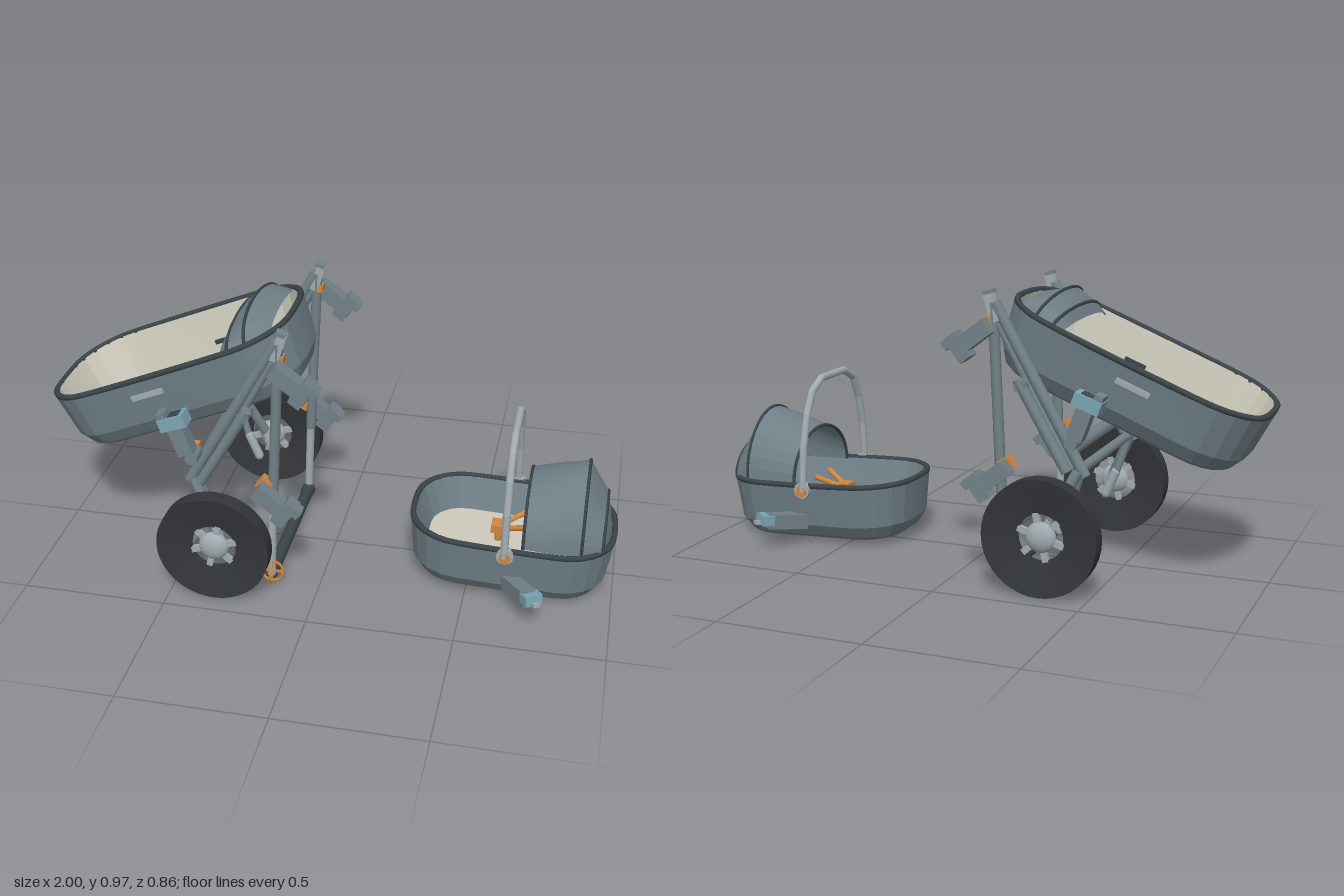
import * as THREE from 'three';
import { toCreasedNormals } from 'three/addons/utils/BufferGeometryUtils.js';

const mat = (name, color, side = THREE.FrontSide) => {
  const m = new THREE.MeshStandardMaterial({ color, side });
  m.name = name;
  return m;
};
const V = (x, y, z) => new THREE.Vector3(x, y, z);

export function createModel() {
  const fabric = mat('slate fabric', 0x6f7f86, THREE.DoubleSide);
  const frame = mat('frame grey', 0x728188);
  const light = mat('light metal', 0xa1abb0);
  const rubber = mat('rubber', 0x333639);
  const trim = mat('dark trim', 0x3b4549, THREE.DoubleSide);
  const lining = mat('cream lining', 0xcecbbd, THREE.DoubleSide);
  const orange = mat('orange', 0xcf8640);
  const teal = mat('teal', 0x7ba6b1);
  const root = new THREE.Group();
  root.name = 'strollerAndCarrier';

  const add = (parent, name, geo, m, pos = [0, 0, 0], rot = [0, 0, 0]) => {
    const mesh = new THREE.Mesh(geo, m);
    mesh.name = name;
    mesh.position.set(...pos);
    mesh.rotation.set(...rot);
    parent.add(mesh);
    return mesh;
  };
  const box = (p, name, size, m, pos, rot) => add(p, name, new THREE.BoxGeometry(...size), m, pos, rot);
  // Straight round bar between two points
  const bar = (p, name, a, b, r, m) => {
    const from = V(...a), d = V(...b).sub(from);
    const mesh = add(p, name, new THREE.CylinderGeometry(r, r, d.length(), 12), m);
    mesh.position.copy(from).addScaledVector(d, 0.5);
    mesh.quaternion.setFromUnitVectors(V(0, 1, 0), d.normalize());
  };
  // Skin over a series of equal-length cross-sections
  const loft = (rings, closed) => {
    const pos = [], idx = [], n = rings[0].length;
    rings.forEach(r => r.forEach(v => pos.push(v.x, v.y, v.z)));
    for (let j = 0; j < rings.length - 1; j++) {
      for (let i = 0; i < (closed ? n : n - 1); i++) {
        const k = (i + 1) % n, a = j * n + i, b = j * n + k, c = b + n, d = a + n;
        idx.push(a, d, c, a, c, b);
      }
    }
    const g = new THREE.BufferGeometry();
    g.setAttribute('position', new THREE.Float32BufferAttribute(pos, 3));
    g.setIndex(idx);
    return toCreasedNormals(g, 0.2);
  };
  // Rounded rectangle lying flat at height y
  const ring = (hl, hw, r, y) => {
    const pts = [];
    [[1, 1], [-1, 1], [-1, -1], [1, -1]].forEach(([sx, sz], q) => {
      for (let i = 0; i <= 5; i++) {
        const t = (q + i / 5) * Math.PI / 2;
        pts.push(V(sx * (hl - r) + r * Math.cos(t), y, sz * (hw - r) + r * Math.sin(t)));
      }
    });
    return pts;
  };
  // Tub with outer shell, inner wall, cream floor and a rolled rim
  const tub = (p, hl, hw, r, depth, draft, floorInset, floorDepth, wallMat) => {
    const at = (inset, y) => ring(hl - inset, hw - inset, Math.max(r - inset, 0.04), y);
    const dot = y => ring(0, 0, 0, y);
    const floor = at(floorInset, -floorDepth);
    add(p, 'outerShell', loft([dot(-depth), at(draft, -depth), at(draft * 0.72, -depth + 0.012),
      at(draft * 0.28, -depth * 0.73), at(0, 0)], true), fabric);
    add(p, 'innerWall', loft([at(0.018, 0), floor], true), wallMat);
    add(p, 'floor', loft([floor, dot(-floorDepth)], true), lining);
    const rim = new THREE.CatmullRomCurve3(at(0.009, 0).filter((v, i, a) => !i || v.distanceTo(a[i - 1]) > 1e-4), true, 'centripetal');
    add(p, 'rim', new THREE.TubeGeometry(rim, 72, 0.011, 6, true), trim);
  };
  // Arched hood made from [x, half width, top, base] sections
  const arch = ([x, hw, top, base]) => Array.from({ length: 17 }, (_, i) => {
    const t = i / 16 * Math.PI;
    return V(x, base + (top - base) * Math.sin(t), hw * Math.cos(t));
  });
  const hood = (p, sections, ribs) => {
    add(p, 'hood', loft(sections.map(arch), false), fabric);
    ribs.forEach(i => add(p, 'hoodRib', new THREE.TubeGeometry(
      new THREE.CatmullRomCurve3(arch(sections[i])), 32, 0.006, 5), trim));
  };

  // Tilted bassinet
  const bassinet = new THREE.Group();
  bassinet.name = 'bassinet';
  bassinet.position.set(-0.995, 0.575, 0);
  bassinet.rotation.z = 0.393;
  root.add(bassinet);
  const cot = new THREE.Group();
  cot.name = 'bassinetTub';
  cot.position.x = 0.466;
  bassinet.add(cot);
  tub(cot, 0.466, 0.265, 0.2, 0.22, 0.062, 0.05, 0.185, lining);
  hood(bassinet, [[0.70, 0.245, 0.015, -0.02], [0.735, 0.245, 0.045, -0.01],
    [0.80, 0.236, 0.073, -0.01], [0.88, 0.18, 0.02, -0.01]], [1, 2]);
  for (const s of [1, -1]) {
    box(bassinet, 'sideGrip', [0.12, 0.018, 0.012], light, [0.41, -0.06, s * 0.262]);
    box(bassinet, 'innerCatch', [0.08, 0.015, 0.012], trim, [0.53, -0.12, s * 0.224]);
  }

  // Clamp with an arm along its local x axis
  const clamp = (pos, angle, m) => {
    const g = new THREE.Group();
    g.name = 'clamp';
    g.position.set(...pos);
    g.rotation.z = angle;
    root.add(g);
    box(g, 'clampArm', [0.14, 0.055, 0.05], frame);
    box(g, 'clampHead', [0.045, 0.095, 0.06], m, [0.055, 0, 0]);
    box(g, 'clampLip', [0.02, 0.03, 0.05], frame, [0.086, 0.03, 0]);
    box(g, 'clampSocket', [0.004, 0.04, 0.04], trim, [0.078, -0.01, 0]);
  };

  for (const s of [1, -1]) {
    // Side frame
    const z = s * 0.29;
    bar(root, 'frontPost', [-0.13, 0.93, z], [-0.16, 0.3, z], 0.018, frame);
    bar(root, 'lowerPost', [-0.16, 0.31, z], [-0.17, 0.03, z], 0.015, light);
    for (const o of [-1, 1]) box(root, 'postFork', [0.03, 0.1, 0.009], light, [-0.127, 0.915, z + o * 0.0125], [0, 0, -0.3]);
    box(root, 'postCap', [0.035, 0.012, 0.036], frame, [-0.118, 0.963, z], [0, 0, -0.3]);
    box(root, 'postButton', [0.025, 0.024, 0.034], orange, [-0.122, 0.874, z]);
    bar(root, 'rearRail', [-0.135, 0.93, z], [-0.45, 0.38, z], 0.019, frame);
    bar(root, 'lowerRail', [-0.15, 0.86, z], [-0.40, 0.4, z], 0.014, frame);
    bar(root, 'outerRail', [-0.23, 0.69, s * 0.33], [-0.40, 0.4, s * 0.33], 0.018, frame);
    bar(root, 'railBracket', [-0.24, 0.67, s * 0.28], [-0.24, 0.67, s * 0.345], 0.02, frame);
    clamp([-0.08, 0.82, s * 0.342], -0.65, frame);
    clamp([-0.147, 0.36, s * 0.342], -0.65, frame);
    clamp([-0.457, 0.585, s * 0.345], 1.92, teal);
    bar(root, 'clampMount', [-0.42, 0.5, z], [-0.42, 0.5, s * 0.36], 0.022, frame);
    box(root, 'mountLatch', [0.03, 0.035, 0.03], orange, [-0.425, 0.51, s * 0.288]);
    box(root, 'postLatch', [0.045, 0.045, 0.034], orange, [-0.184, 0.402, s * 0.299], [0, 0, -0.65]);

    // Suspension and axle
    bar(root, 'suspensionStrut', [-0.43, 0.4, s * 0.31], [-0.35, 0.23, s * 0.345], 0.018, frame);
    add(root, 'suspensionLink', new THREE.CapsuleGeometry(0.018, 0.07, 4, 10), light, [-0.34, 0.2, s * 0.345], [0, 0, 0.3]);
    add(root, 'innerLink', new THREE.CapsuleGeometry(0.017, 0.09, 4, 10), light, [-0.37, 0.22, s * 0.25], [0, 0, 0.4]);
    bar(root, 'axlePin', [-0.34, 0.2, s * 0.33], [-0.34, 0.2, s * 0.4], 0.012, light);
    bar(root, 'upperLink', [-0.39, 0.26, s * 0.25], [-0.43, 0.39, s * 0.27], 0.013, frame);

    // Wheel with dished faces
    const wheel = new THREE.Group();
    wheel.name = 'wheel';
    wheel.position.set(-0.34, 0.197, s * 0.402);
    root.add(wheel);
    const prof = [[0.078, -0.006], [0.196, -0.03], [0.196, 0.03], [0.078, 0.006],
      [0.078, -0.006]].map(p => new THREE.Vector2(...p));
    add(wheel, 'tyre', toCreasedNormals(new THREE.LatheGeometry(prof, 40), 0.5), rubber, [0, 0, 0], [Math.PI / 2, 0, 0]);
    const hub = add(wheel, 'hub', new THREE.SphereGeometry(0.052, 20, 12), light);
    hub.scale.z = 0.55;
    for (let i = 0; i < 6; i++) {
      const t = i * Math.PI / 3 + 0.3;
      box(wheel, 'spoke', [0.05, 0.022, 0.014], light, [Math.cos(t) * 0.065, Math.sin(t) * 0.065, 0], [0, 0, t]);
    }
  }

  // Cross bars joining the sides
  bar(root, 'upperCrossBar', [-0.40, 0.465, -0.29], [-0.40, 0.465, 0.29], 0.022, frame);
  bar(root, 'lowerCrossBar', [-0.43, 0.40, -0.29], [-0.43, 0.40, 0.29], 0.017, frame);
  bar(root, 'footBar', [-0.17, 0.03, -0.29], [-0.17, 0.03, 0.29], 0.022, trim);
  bar(root, 'footBarEnd', [-0.17, 0.03, -0.29], [-0.17, 0.03, -0.255], 0.026, trim);

  // Wire cage at the end of the foot bar
  add(root, 'cageRing', new THREE.TorusGeometry(0.04, 0.005, 6, 24), orange, [-0.165, 0.05, 0.3]);
  add(root, 'cageHoop', new THREE.TorusGeometry(0.034, 0.004, 6, 24), orange, [-0.165, 0.04, 0.3], [0, Math.PI / 2, 0]);
  for (const t of [0, Math.PI / 2]) box(root, 'cageSpoke', [0.076, 0.007, 0.007], orange, [-0.165, 0.05, 0.3], [0, 0, t]);

  // Separate infant carrier
  const carrier = new THREE.Group();
  carrier.name = 'infantCarrier';
  carrier.position.set(0, 0, 0.03);
  root.add(carrier);
  const shell = new THREE.Group();
  shell.name = 'carrierTub';
  shell.position.set(0.641, 0.218, 0);
  shell.rotation.z = -0.042;
  carrier.add(shell);
  tub(shell, 0.357, 0.235, 0.19, 0.205, 0.066, 0.065, 0.11, fabric);
  const hoodEnd = [0.972, 0.085, 0.25, 0.2];
  hood(carrier, [[0.69, 0.205, 0.385, 0.215], [0.79, 0.207, 0.42, 0.21], [0.885, 0.202, 0.445, 0.21],
    [0.955, 0.165, 0.325, 0.205], hoodEnd], [0, 2, 3]);
  add(carrier, 'hoodEndPanel', loft([arch(hoodEnd), arch([0.972, 0, 0.2, 0.2])], false), trim);

  // Carry handle with pivots
  const half = [[0.245, 0.2], [0.23, 0.36], [0.2, 0.47], [0.158, 0.55], [0.085, 0.587]];
  const path = [...half, ...half.slice().reverse().map(([z, y]) => [-z, y])].map(([z, y]) => [0.632, y, z]);
  for (let i = 0; i < path.length - 1; i++) {
    bar(carrier, 'handle', path[i], path[i + 1], 0.0135, light);
    if (i) add(carrier, 'handleJoint', new THREE.SphereGeometry(0.0135, 10, 8), light, path[i]);
  }
  for (const s of [1, -1]) {
    bar(carrier, 'handlePivot', [0.635, 0.205, s * 0.225], [0.635, 0.205, s * 0.25], 0.03, light);
    bar(carrier, 'pivotRing', [0.635, 0.2, s * 0.25], [0.635, 0.2, s * 0.256], 0.02, orange);

    // Side docking arm
    const dock = new THREE.Group();
    dock.name = 'dockingArm';
    dock.position.set(0.69, 0.093, s * 0.265);
    dock.rotation.set(0, -s * 0.95, 0.14);
    carrier.add(dock);
    box(dock, 'dockBeam', [0.15, 0.052, 0.052], frame);
    box(dock, 'dockHead', [0.045, 0.036, 0.062], teal, [0.082, 0.006, 0]);
    box(dock, 'dockTab', [0.02, 0.012, 0.025], light, [0.112, -0.005, 0]);

    // Harness prong
    bar(carrier, 'harnessStrap', [0.60, 0.165, s * 0.015], [0.685, 0.205, s * 0.055], 0.01, orange);
  }
  box(carrier, 'harnessBuckle', [0.05, 0.03, 0.055], orange, [0.59, 0.165, 0]);
  bar(carrier, 'crotchStrap', [0.59, 0.1, 0], [0.59, 0.16, 0], 0.012, orange);

  return root;
}
